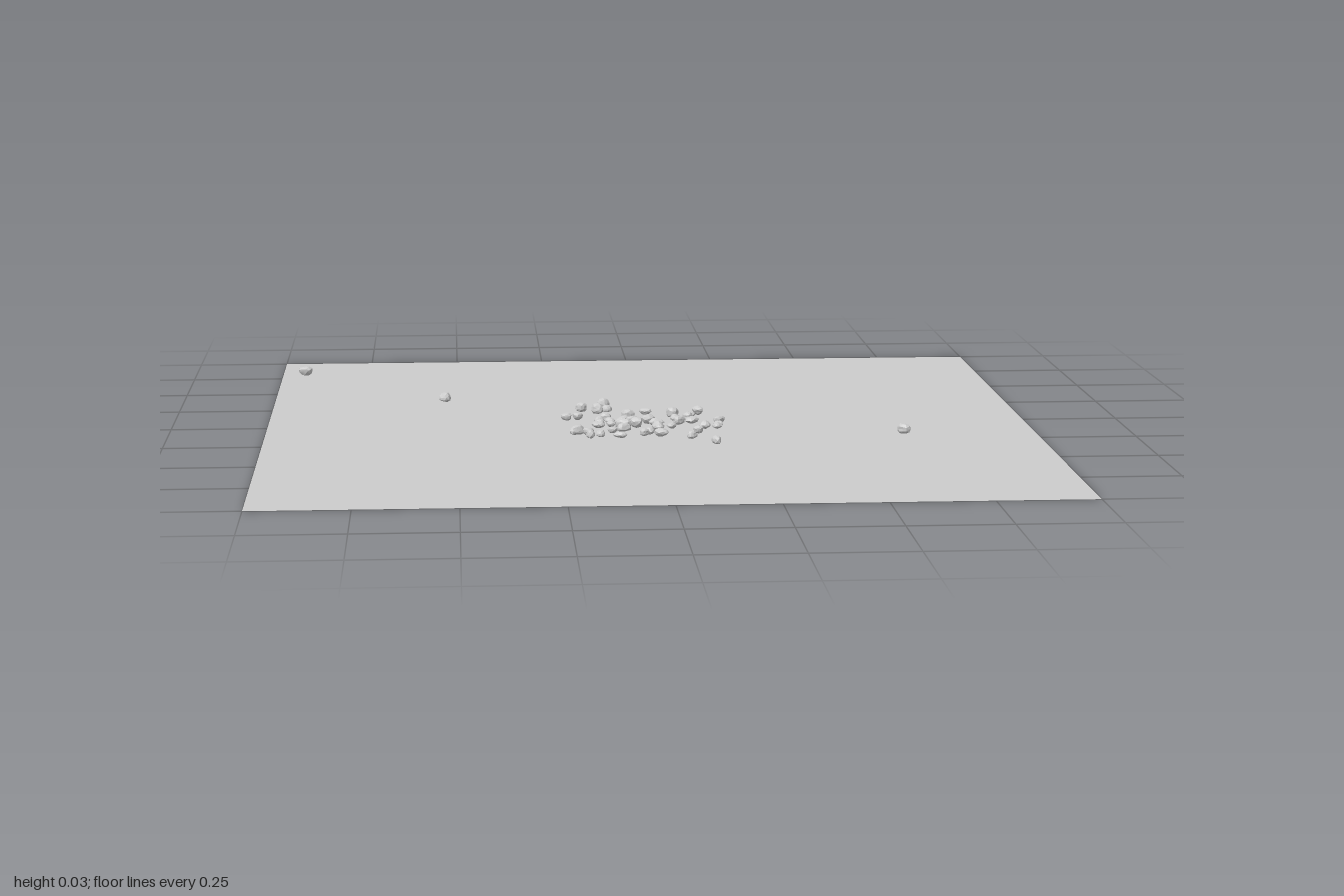
import * as THREE from 'three';

// Pebble positions as [x, z], grouped by size
const large = [
  [-0.125, -0.13], [0.07, -0.07], [-0.05, -0.035], [-0.045, 0.03], [0, 0.02], [0.115, 0.02],
  [-0.07, 0.08], [-0.035, 0.075], [0.02, 0.12], [0.025, 0.195], [-0.195, 0.16],
  [-0.107, -0.225], [-0.535, -0.343], [-0.935, -0.777], [0.655, 0.195],
];
const medium = [
  [-0.17, -0.16], [-0.10, -0.16], [0.14, -0.095], [0.115, -0.06], [-0.215, -0.043], [-0.183, -0.055],
  [-0.11, -0.03], [-0.065, -0.008], [0.105, -0.015], [0.08, 0.03], [0.185, 0.03], [0.145, 0.10],
  [-0.135, 0.07], [0.02, 0.05], [-0.07, 0.12], [-0.005, 0.16], [-0.165, 0.155],
  [-0.16, 0.205], [0.155, 0.305],
];
const small = [
  [0, -0.11], [-0.13, -0.01], [-0.10, -0.002], [0.005, -0.025], [0.075, -0.02], [0.18, 0.075],
  [0.175, 0.10], [-0.13, 0.043], [-0.10, 0.058], [0.055, 0.09], [-0.10, 0.135], [-0.02, 0.185],
  [-0.135, 0.185], [-0.085, 0.205], [0.12, 0.16], [0.10, 0.23],
];

function seeded(seed) {
  return () => {
    seed = (seed * 16807) % 2147483647;
    return seed / 2147483647;
  };
}

// Lumpy faceted stone: a sphere dented by waves that depend on direction only
function stoneGeometry(rand) {
  const geo = new THREE.IcosahedronGeometry(1, 1);
  const p = geo.attributes.position;
  const v = new THREE.Vector3();
  const a = rand() * 6, b = rand() * 6, c = rand() * 6;
  for (let i = 0; i < p.count; i++) {
    v.fromBufferAttribute(p, i);
    const k = 1 + 0.12 * Math.sin(3 * v.x + a) + 0.1 * Math.sin(4 * v.y + b) + 0.12 * Math.sin(3 * v.z + c);
    p.setXYZ(i, v.x * k, v.y * k, v.z * k);
  }
  geo.computeVertexNormals();
  return geo;
}

export function createModel() {
  const group = new THREE.Group();
  const ground = new THREE.MeshStandardMaterial({ color: 0xcccccc, side: THREE.DoubleSide });
  ground.name = 'groundGrey';
  const stone = new THREE.MeshStandardMaterial({ color: 0xcccccc, flatShading: true });
  stone.name = 'stoneGrey';

  // Flat square ground
  const plane = new THREE.Mesh(new THREE.PlaneGeometry(2, 2).rotateX(-Math.PI / 2), ground);
  plane.name = 'ground';
  group.add(plane);

  // Scattered pebbles resting just above the ground
  const rand = seeded(4217);
  const pebbles = new THREE.Group();
  pebbles.name = 'pebbles';
  const scatter = (spots, radius) => {
    for (const [x, z] of spots) {
      const geo = stoneGeometry(rand);
      geo.scale(radius * (1 + 0.15 * rand()), radius * 0.68, radius * (0.8 + 0.15 * rand()));
      geo.rotateY(rand() * Math.PI * 2);
      geo.computeBoundingBox();
      const mesh = new THREE.Mesh(geo, stone);
      mesh.position.set(x, 0.004 - geo.boundingBox.min.y, z);
      mesh.name = 'pebble';
      pebbles.add(mesh);
    }
  };
  scatter(large, 0.0185);
  scatter(medium, 0.0155);
  scatter(small, 0.013);
  group.add(pebbles);
  return group;
}
